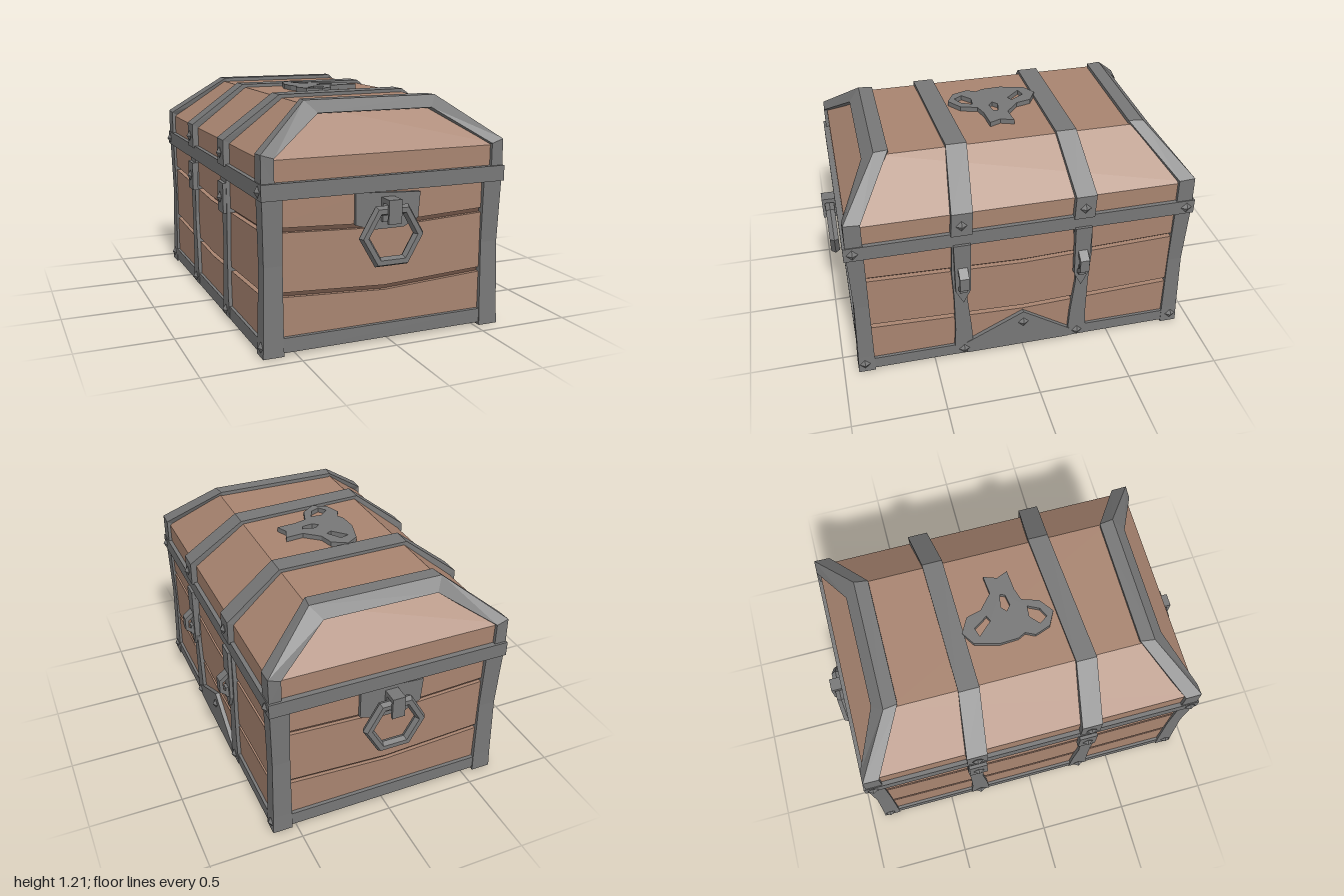
import * as THREE from 'three';

const metal = new THREE.MeshStandardMaterial({ color: 0x777777, flatShading: true });
const wood = new THREE.MeshStandardMaterial({ color: 0xa88470, flatShading: true });
const groove = new THREE.MeshStandardMaterial({ color: 0x6a5043, flatShading: true });

// Closed solid through convex cross-sections; turned outward by its signed volume
function loft(rings) {
  const tris = [], n = rings[0].length, last = rings.length - 1;
  for (let i = 0; i < last; i++) {
    for (let j = 0; j < n; j++) {
      const k = (j + 1) % n, a = rings[i], b = rings[i + 1];
      tris.push([a[j], a[k], b[k]], [a[j], b[k], b[j]]);
    }
  }
  for (let j = 1; j < n - 1; j++) {
    tris.push([rings[0][0], rings[0][j + 1], rings[0][j]]);
    tris.push([rings[last][0], rings[last][j], rings[last][j + 1]]);
  }
  const v = (p) => new THREE.Vector3(...p);
  const volume = tris.reduce((s, [a, b, c]) => s + v(a).dot(v(b).cross(v(c))), 0);
  if (volume < 0) tris.forEach((t) => t.reverse());
  const g = new THREE.BufferGeometry();
  g.setAttribute('position', new THREE.Float32BufferAttribute(tris.flat(2), 3));
  g.computeVertexNormals();
  return g;
}

function add(parent, name, geometry, material = metal) {
  const mesh = new THREE.Mesh(geometry, material);
  mesh.name = name;
  parent.add(mesh);
  return mesh;
}

// Box given by its limits
function box(parent, name, [x0, x1], [y0, y1], [z0, z1], material = metal) {
  const m = add(parent, name, new THREE.BoxGeometry(x1 - x0, y1 - y0, z1 - z0), material);
  m.position.set((x0 + x1) / 2, (y0 + y1) / 2, (z0 + z1) / 2);
  return m;
}

const polygon = (points) => new THREE.Shape(points.map(([x, y]) => new THREE.Vector2(x, y)));
const plate = (shape, depth) => new THREE.ExtrudeGeometry(shape, { depth, bevelEnabled: false });
const rect = (x, y, z) => [[-x, y, -z], [x, y, -z], [x, y, z], [-x, y, z]];

// Pointed four-sided stud on a side wall
function stud(parent, x, y, z) {
  const m = add(parent, 'stud', new THREE.OctahedronGeometry(0.03));
  m.scale.x = 0.6;
  m.position.set(x, y, z);
}

// Three planks with bent seams on one wall
function planks(angle, halfWidth, distance) {
  const wall = new THREE.Group();
  wall.name = 'plankWall';
  const seams = [[0.03, 0.03], [0.305, 0.272], [0.622, 0.593], [0.8, 0.8]];
  for (let i = 0; i < 3; i++) {
    const [e0, m0] = seams[i], [e1, m1] = seams[i + 1], w = halfWidth, gap = 0.012;
    const outline = polygon([[-w, e0 + gap], [0, m0 + gap], [w, e0 + gap], [w, e1 - gap], [0, m1 - gap], [-w, e1 - gap]]);
    add(wall, 'plank', plate(outline, 0.03), wood).position.z = distance - 0.03;
  }
  wall.rotation.y = angle;
  return wall;
}

// Ring handle with its back plate and bracket
function handle() {
  const g = new THREE.Group();
  g.name = 'ringHandle';
  add(g, 'handlePlate', plate(polygon([[-0.17, 0.77], [-0.17, 0.61], [-0.08, 0.58], [0.09, 0.58], [0.17, 0.62], [0.18, 0.75]]), 0.025)).position.z = 0.89;
  add(g, 'handleRing', new THREE.TorusGeometry(0.147, 0.028, 6, 6)).position.set(0, 0.555, 0.96);
  box(g, 'bracketArm', [-0.035, 0.035], [0.715, 0.74], [0.9, 1]);
  box(g, 'bracketTab', [-0.035, 0.035], [0.62, 0.735], [0.985, 1]);
  box(g, 'bracketFoot', [-0.035, 0.035], [0.62, 0.735], [0.9, 0.935]);
  return g;
}

// Hasp with pointed tail and six-sided staple
function clasp(z) {
  const g = new THREE.Group();
  g.name = 'clasp';
  const tail = plate(polygon([[-0.045, 0.78], [-0.04, 0.48], [0, 0.4], [0.04, 0.48], [0.045, 0.78]]), 0.03);
  add(g, 'hasp', tail.rotateY(Math.PI / 2)).position.x = 0.64;
  const hexagon = (r) => Array.from({ length: 6 }, (_, i) => [0.75 * r * Math.sin(i * Math.PI / 3), r * Math.cos(i * Math.PI / 3)]);
  const staple = polygon(hexagon(0.075));
  staple.holes.push(polygon(hexagon(0.045)));
  add(g, 'staple', plate(staple, 0.05)).position.set(0.67, 0.56, -0.025);
  box(g, 'pin', [0.665, 0.685], [0.48, 0.54], [-0.02, 0.02]);
  g.position.z = z;
  return g;
}

export function createModel() {
  const model = new THREE.Group();
  model.name = 'chest';
  const chest = new THREE.Group();
  chest.name = 'chestBody';
  chest.position.x = -0.02;
  model.add(chest);

  // Planked body
  box(chest, 'core', [-0.605, 0.605], [0.03, 0.8], [-0.875, 0.875], groove);
  box(chest, 'floor', [-0.6, 0.6], [0.025, 0.05], [-0.87, 0.87], wood);
  for (let i = 0; i < 4; i++) {
    chest.add(i % 2 ? planks(i * Math.PI / 2, 0.88, 0.632) : planks(i * Math.PI / 2, 0.62, 0.895));
  }

  // Hipped lid
  add(chest, 'lid', loft([rect(0.632, 0.82, 0.9), rect(0.632, 0.955, 0.9), rect(0.355, 1.182, 0.69)]), wood);
  box(chest, 'lidRim', [-0.655, 0.655], [0.77, 0.85], [-0.93, 0.93]);

  for (const s of [-1, 1]) {
    // Bottom rails
    box(chest, 'endRail', [-0.645, 0.645], [0.015, 0.09], s < 0 ? [-0.915, -0.83] : [0.83, 0.915]);
    box(chest, 'sideRail', s < 0 ? [-0.648, -0.57] : [0.57, 0.648], [0.012, 0.08], [-0.915, 0.915]);

    // Slightly waisted corner posts
    for (const t of [-1, 1]) {
      const section = ([y, x, z]) => [[s * x, y, t * z], [s * 0.545, y, t * z], [s * 0.545, y, t * 0.83], [s * x, y, t * 0.83]];
      add(chest, 'cornerPost', loft([[0, 0.652, 0.922], [0.1, 0.648, 0.918], [0.45, 0.64, 0.908], [0.78, 0.648, 0.918]].map(section)));
      stud(chest, s * 0.65, 0.05, t * 0.885);
      stud(chest, s * 0.657, 0.81, t * 0.885);
    }

    // Angle frame along the lid's end: arm on the end, ridge, arm on the side, buried edge
    const half = [
      [[0.585, 0.84, 0.918], [0.65, 0.84, 0.918], [0.65, 0.84, 0.83], [0.585, 0.84, 0.83]],
      [[0.585, 0.965, 0.918], [0.65, 0.985, 0.915], [0.65, 0.98, 0.83], [0.585, 0.94, 0.83]],
      [[0.31, 1.145, 0.775], [0.36, 1.203, 0.715], [0.35, 1.203, 0.64], [0.31, 1.12, 0.64]],
    ];
    const place = (sx) => (ring) => ring.map(([x, y, z]) => [sx * x, y, s * z]);
    add(chest, 'lidEndFrame', loft([...half.map(place(-1)), ...half.map(place(1)).reverse()]));
    const h = handle();
    if (s < 0) h.rotation.y = Math.PI;
    chest.add(h);
  }

  // Straps over the lid, down both walls and under the floor
  const profile = [[-0.665, 0.84], [-0.665, 0.975], [-0.37, 1.2], [0.365, 1.2], [0.665, 0.975], [0.665, 0.84]];
  const inner = [[-0.61, 0.84], [-0.61, 0.95], [-0.35, 1.15], [0.35, 1.15], [0.61, 0.95], [0.61, 0.84]];
  const drift = [[0.31, 0.31, 0.345, 0.295, 0.33, 0.335], [-0.315, -0.315, -0.275, -0.29, -0.32, -0.315]];
  for (const path of drift) {
    const rings = profile.map(([x, y], i) => [
      [x, y, path[i] - 0.055], [x, y, path[i] + 0.055],
      [...inner[i], path[i] + 0.055], [...inner[i], path[i] - 0.055],
    ]);
    add(chest, 'lidStrap', loft(rings));
    for (const s of [-1, 1]) {
      const z = path[s < 0 ? 0 : 5];
      const section = ([y, dz, w]) => [[s * 0.652, y, z + dz - w], [s * 0.652, y, z + dz + w], [s * 0.61, y, z + dz + w], [s * 0.61, y, z + dz - w]];
      const bow = Math.sign(z) * 0.012;
      add(chest, 'wallStrap', loft([[0.015, 0, 0.055], [0.2, 0, 0.045], [0.42, bow, 0.035], [0.6, bow, 0.045], [0.79, 0, 0.05]].map(section)));
      stud(chest, s * 0.655, 0.05, z);
      stud(chest, s * 0.67, 0.905, z);
    }
    chest.add(clasp(path[5]));
    // Hinge leaf on the far wall
    box(chest, 'hinge', [-0.67, -0.64], [0.59, 0.75], [path[0] - 0.05, path[0] + 0.05]);
    stud(chest, -0.672, 0.67, path[0]);
    const z = Math.sign(path[0]) * 0.32;
    box(chest, 'floorStrap', [-0.64, 0.64], [0.012, 0.04], [z - 0.05, z + 0.05]);
  }

  // Pointed repair patch low on the clasp side
  const patch = plate(polygon([[-0.32, 0.015], [-0.32, 0.09], [0, 0.25], [0.27, 0.07], [0.27, 0.015]]), 0.04);
  add(chest, 'repairPatch', patch.rotateY(Math.PI / 2)).position.x = 0.615;
  stud(chest, 0.658, 0.18, 0);

  // Flat skull-shaped ornament on the lid, outlined from above
  const skull = polygon([
    [-0.09, -0.235], [-0.01, -0.19], [0.01, -0.11], [0.09, -0.04], [0.19, -0.05], [0.165, 0.02], [0.19, 0.08],
    [0.08, 0.09], [0.015, 0.11], [-0.015, 0.2], [-0.09, 0.255], [-0.165, 0.215], [-0.195, 0.13], [-0.17, 0.08],
    [-0.19, 0.04], [-0.195, -0.06], [-0.16, -0.19],
  ]);
  skull.holes.push(
    polygon([[-0.13, -0.15], [-0.08, -0.165], [-0.03, -0.09], [-0.06, -0.075]]),
    polygon([[-0.14, 0.17], [-0.09, 0.125], [-0.03, 0.13], [-0.06, 0.19], [-0.11, 0.215]]),
    polygon([[-0.03, 0.02], [0.0, -0.005], [0.07, 0.01], [0.06, 0.035], [0, 0.045]]),
  );
  const ornament = add(chest, 'lidOrnament', plate(skull, 0.035).rotateX(Math.PI / 2));
  ornament.position.set(0.02, 1.208, 0);
  return model;
}
